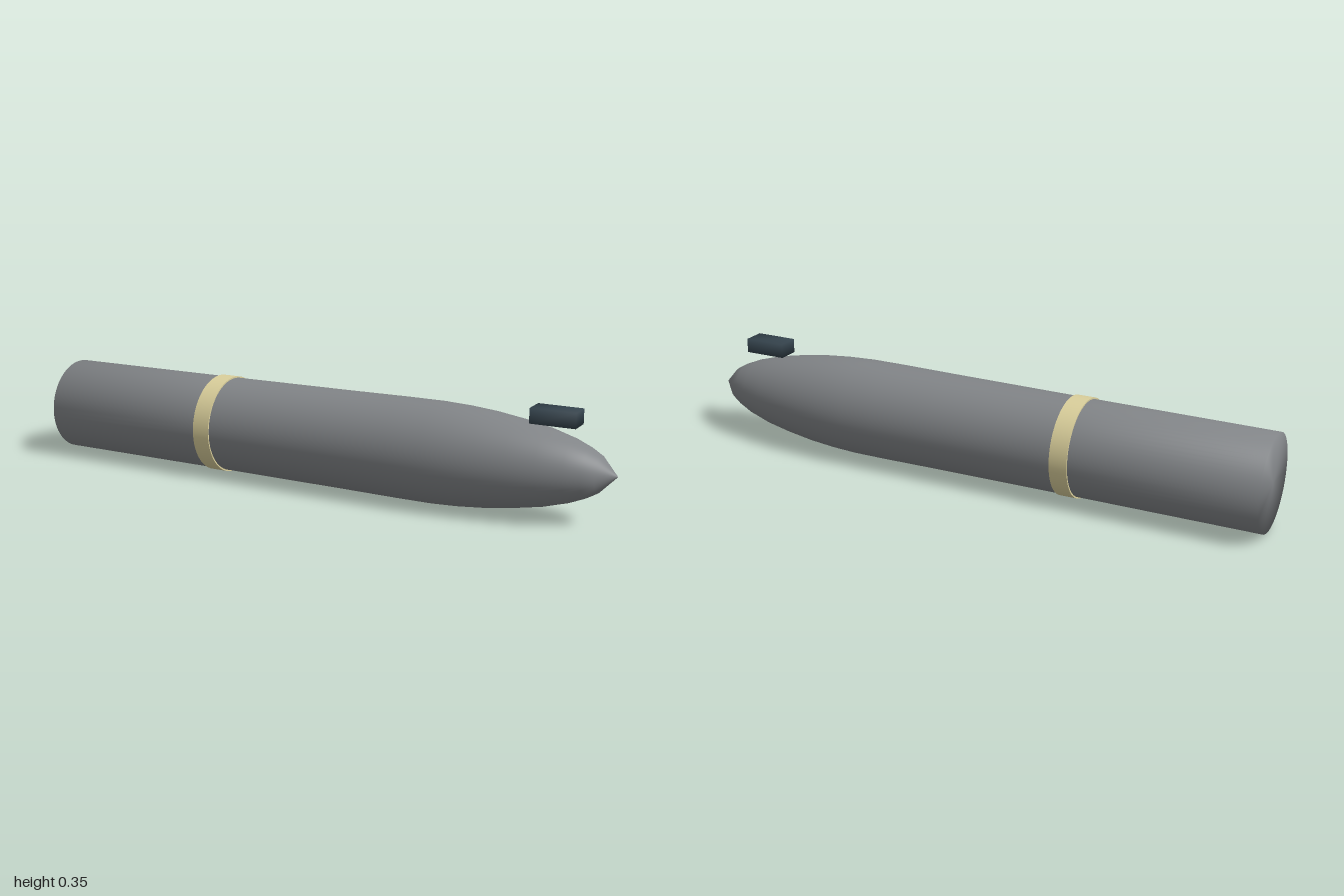
import * as THREE from 'three';
import { mergeVertices } from 'three/addons/utils/BufferGeometryUtils.js';

const AXIS_Y = 0.163;

function material(name, color) {
  const m = new THREE.MeshStandardMaterial({ color });
  m.name = name;
  return m;
}

export function createModel() {
  const group = new THREE.Group();
  group.name = 'shell';
  const grey = material('steel grey', 0x828588);
  const cream = material('pale yellow', 0xdbd09c);
  const slate = material('dark slate', 0x36454f);

  function add(name, geometry, mat, x, y) {
    const mesh = new THREE.Mesh(geometry, mat);
    mesh.name = name;
    mesh.position.set(x, y, 0);
    group.add(mesh);
  }

  // Body: slightly flared tube with a closed base and a curved, pointed nose
  const profile = [
    [0, -1], [0.156, -1], [0.158, -0.4], [0.161, 0.1], [0.163, 0.3], [0.163, 0.42],
    [0.159, 0.51], [0.151, 0.6], [0.138, 0.69], [0.121, 0.78], [0.098, 0.86],
    [0.077, 0.91], [0.057, 0.945], [0, 1],
  ].map(([r, x]) => new THREE.Vector2(r, x));
  add('body', new THREE.LatheGeometry(profile, 64).rotateZ(-Math.PI / 2), grey, 0, AXIS_Y);

  // Painted band around the body
  const band = new THREE.CylinderGeometry(0.163, 0.163, 0.06, 64).rotateZ(-Math.PI / 2);
  add('band', band, cream, -0.37, AXIS_Y);

  // Small block above the nose, shaded smoothly across its corners
  const box = new THREE.BoxGeometry(0.145, 0.048, 0.074);
  box.deleteAttribute('normal');
  box.deleteAttribute('uv');
  const block = mergeVertices(box);
  block.computeVertexNormals();
  add('noseBlock', block, slate, 0.803, 0.325);

  return group;
}
